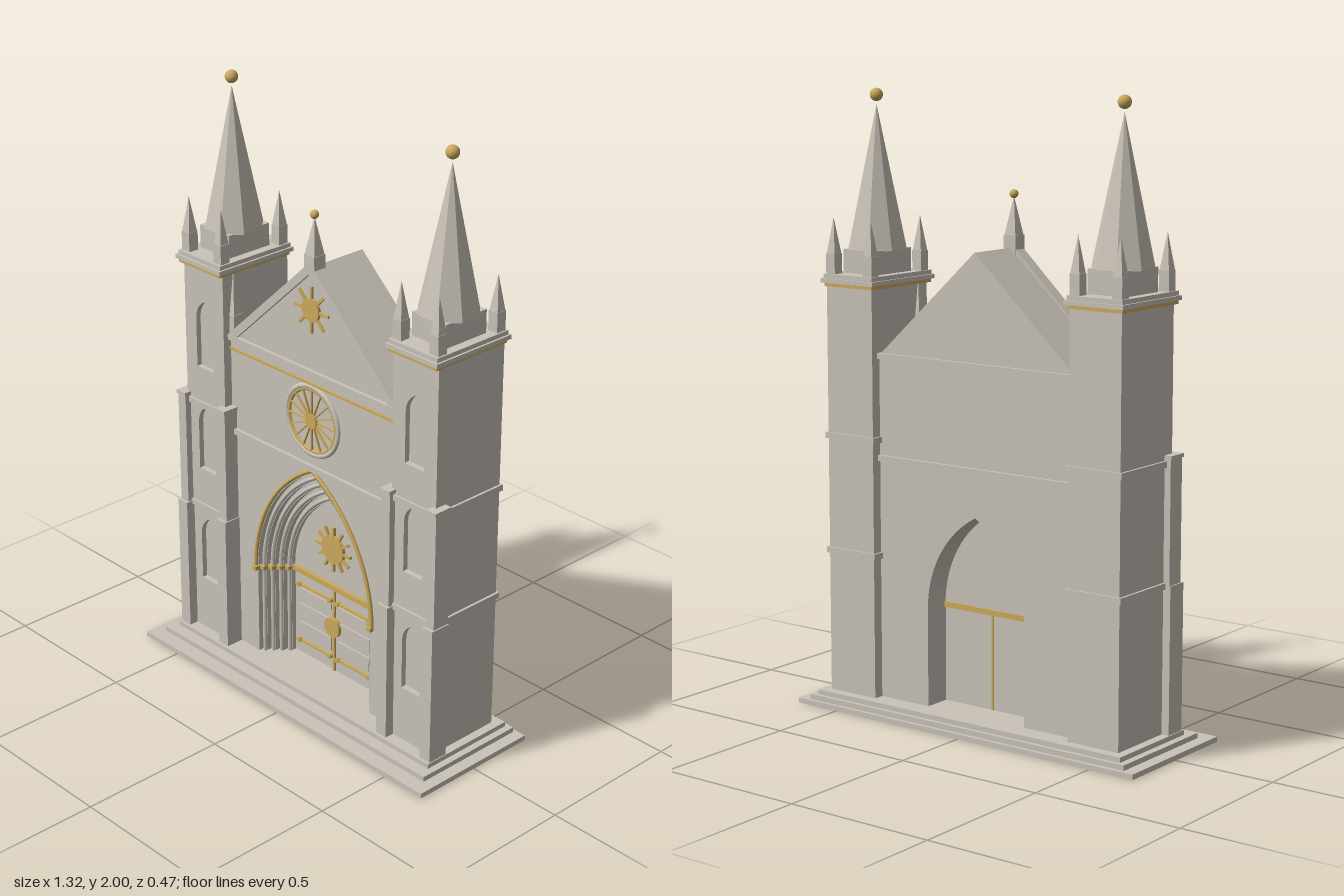
import * as THREE from 'three';

const stone = new THREE.MeshStandardMaterial({ color: 0xc9c3b8 });
stone.name = 'stone';
const gold = new THREE.MeshStandardMaterial({ color: 0xcba95c });
gold.name = 'gold';

function add(parent, name, geometry, material = stone) {
  const mesh = new THREE.Mesh(geometry, material);
  mesh.name = name;
  parent.add(mesh);
  return mesh;
}

// Box given by its limits on each axis
function box(parent, name, [x0, x1], [y0, y1], [z0, z1], material) {
  const mesh = add(parent, name, new THREE.BoxGeometry(x1 - x0, y1 - y0, z1 - z0), material);
  mesh.position.set((x0 + x1) / 2, (y0 + y1) / 2, (z0 + z1) / 2);
  return mesh;
}

// Extruded outline between two depths
function slab(parent, name, shape, z0, z1, material) {
  const geometry = new THREE.ExtrudeGeometry(shape, { depth: z1 - z0, bevelEnabled: false, curveSegments: 32 });
  geometry.translate(0, 0, z0);
  return add(parent, name, geometry, material);
}

// Faceted pointed roof with a flat side to the front
function spike(parent, name, sides, radius, y0, y1, x, z) {
  const geometry = new THREE.ConeGeometry(radius, y1 - y0, sides, 1, false, Math.PI / sides).toNonIndexed();
  geometry.computeVertexNormals();
  add(parent, name, geometry).position.set(x, (y0 + y1) / 2, z);
}

function pinnacle(parent, name, x, z, half, y0, y1, y2) {
  box(parent, name + 'Base', [x - half, x + half], [y0, y1], [z - half, z + half]);
  spike(parent, name + 'Point', 4, half * 1.3, y1, y2, x, z);
}

function ball(parent, name, r, x, y, z) {
  add(parent, name, new THREE.SphereGeometry(r, 20, 14), gold).position.set(x, y, z);
}

// Pointed arch outline from the right foot over the apex to the left foot
function archPoints(w, base, spring, n = 14) {
  const R = 1.9 * w;
  const top = Math.acos((R - w) / R);
  const right = [new THREE.Vector2(w, base)];
  for (let i = 0; i <= n; i++) {
    const a = (top * i) / n;
    right.push(new THREE.Vector2(i === n ? 0 : w - R + R * Math.cos(a), spring + R * Math.sin(a)));
  }
  const left = right.slice(0, -1).reverse().map((p) => new THREE.Vector2(-p.x, p.y));
  return right.concat(left);
}

function archTube(parent, name, w, base, spring, z, r, material) {
  const path = new THREE.CurvePath();
  const pts = archPoints(w, base, spring).map((p) => new THREE.Vector3(p.x, p.y, z));
  for (let i = 1; i < pts.length; i++) path.add(new THREE.LineCurve3(pts[i - 1], pts[i]));
  add(parent, name, new THREE.TubeGeometry(path, 90, r, 8), material);
}

function rectangle(x0, x1, y0, y1) {
  return new THREE.Shape([[x0, y0], [x1, y0], [x1, y1], [x0, y1]].map((p) => new THREE.Vector2(...p)));
}

function disc(parent, name, r, depth, x, y, z, material) {
  const mesh = add(parent, name, new THREE.CylinderGeometry(r, r, depth, 32), material);
  mesh.rotation.x = Math.PI / 2;
  mesh.position.set(x, y, z);
}

// Disc with rays
function sun(parent, name, r, reach, rays, y, z) {
  const group = new THREE.Group();
  group.name = name;
  group.position.set(0, y, z);
  parent.add(group);
  disc(group, 'sunDisc', r, 0.014, 0, 0, 0, gold);
  for (let i = 0; i < rays; i++) {
    const ray = add(group, 'sunRay', new THREE.BoxGeometry(0.009, reach - r + 0.01, 0.01), gold);
    const a = (i * 2 * Math.PI) / rays;
    const mid = (reach + r - 0.01) / 2;
    ray.position.set(Math.sin(a) * mid, Math.cos(a) * mid, 0);
    ray.rotation.z = -a;
  }
}

function tower(parent, side) {
  const g = new THREE.Group();
  g.name = side > 0 ? 'leftTower' : 'rightTower';
  g.position.x = side * 0.475;
  parent.add(g);

  // Shaft with a front layer pierced by three lancets
  box(g, 'shaft', [-0.093, 0.093], [0.05, 1.39], [-0.175, 0.082]);
  const face = rectangle(-0.093, 0.093, 0.05, 1.39);
  for (const y of [0.24, 0.655, 1.025]) face.holes.push(new THREE.Path(archPoints(0.04, y, y + 0.168, 8)));
  slab(g, 'lancetWall', face, 0.082, 0.1);

  // String courses, gold band and cornice
  for (const y of [0.508, 0.885]) box(g, 'stringCourse', [-0.101, 0.101], [y, y + 0.02], [-0.182, 0.108]);
  box(g, 'goldBand', [-0.098, 0.098], [1.376, 1.388], [-0.18, 0.117], gold);
  box(g, 'cornice', [-0.107, 0.107], [1.388, 1.402], [-0.19, 0.123]);
  box(g, 'parapet', [-0.1, 0.1], [1.402, 1.416], [-0.183, 0.116]);

  // Stepped buttresses on the front corners
  for (const s of [-1, 1]) {
    const x = s * 0.097;
    box(g, 'lowerButtress', [x - 0.022, x + 0.022], [0.04, 0.52], [0.06, 0.132]);
    box(g, 'upperButtress', [x - 0.018, x + 0.018], [0.52, 0.91], [0.06, 0.122]);
    box(g, 'buttressCap', [x - 0.021, x + 0.021], [0.91, 0.922], [0.06, 0.127]);
    for (const z of [-0.158, 0.088]) pinnacle(g, 'pinnacle', s * 0.076, z, 0.018, 1.416, 1.48, 1.595);
  }

  // Spire
  box(g, 'spireBase', [-0.069, 0.069], [1.416, 1.492], [-0.12, 0.05]);
  spike(g, 'spire', 8, 0.098, 1.49, 1.95, 0, -0.033);
  ball(g, 'spireBall', 0.021, 0, 1.979, -0.033);
}

export function createModel() {
  const model = new THREE.Group();
  model.name = 'cathedralFront';

  // Steps
  box(model, 'bottomStep', [-0.66, 0.66], [0, 0.017], [-0.235, 0.235]);
  box(model, 'middleStep', [-0.62, 0.62], [0.017, 0.034], [-0.222, 0.183]);
  box(model, 'topStep', [-0.597, 0.597], [0.034, 0.05], [-0.208, 0.142]);

  for (const side of [-1, 1]) tower(model, side);

  // Wall in layers, each with a wider arch towards the front
  const spring = 0.37;
  const layers = [[0.19, -0.14, -0.01], [0.209, -0.01, 0.01], [0.228, 0.01, 0.03], [0.247, 0.03, 0.05], [0.266, 0.05, 0.07]];
  layers.forEach(([w, z0, z1], i) => {
    const shape = rectangle(-0.385, 0.385, 0.05, 1.17);
    shape.holes.push(new THREE.Path(archPoints(w, 0.0501, spring)));
    slab(model, 'wallLayer', shape, z0, z1);
    if (i < 4) archTube(model, 'archRoll', w + 0.007, 0.05, spring, z1 + 0.004, 0.007);
  });
  archTube(model, 'goldHood', 0.273, spring, spring, 0.074, 0.007, gold);
  for (const s of [-1, 1]) {
    layers.slice(0, 4).forEach(([w, , z]) => {
      box(model, 'goldCapital', [s * (w + 0.009) - 0.011, s * (w + 0.009) + 0.011], [0.362, 0.376], [z - 0.004, z + 0.016], gold);
    });
    box(model, 'hoodStop', [s * 0.27 - 0.009, s * 0.27 + 0.009], [0.362, 0.376], [0.06, 0.086], gold);
  }

  // Wall courses
  box(model, 'lowerCourse', [-0.384, 0.384], [0.828, 0.846], [-0.152, 0.083]);
  box(model, 'upperCourse', [-0.384, 0.384], [1.156, 1.174], [-0.152, 0.083]);
  box(model, 'goldCourse', [-0.384, 0.384], [1.121, 1.129], [0.06, 0.076], gold);

  // Tympanum and doors
  slab(model, 'tympanum', new THREE.Shape(archPoints(0.191, 0.36, spring)), -0.05, -0.025);
  box(model, 'lintel', [-0.19, 0.19], [0.36, 0.378], [-0.056, -0.012], gold);
  box(model, 'doorSeam', [-0.004, 0.004], [0.05, 0.36], [-0.052, -0.02], gold);
  for (const s of [-1, 1]) {
    const span = (a, b) => (s > 0 ? [a, b] : [-b, -a]);
    box(model, 'door', span(0.003, 0.19), [0.05, 0.36], [-0.049, -0.027]);
    for (const y of [0.12, 0.19, 0.275]) box(model, 'doorPanel', span(0.014, 0.165), [y, y + (y > 0.2 ? 0.025 : 0.05)], [-0.03, -0.021]);
    for (const y of [0.1, 0.312]) {
      box(model, 'hinge', span(0.015, 0.172), [y - 0.004, y + 0.004], [-0.03, -0.018], gold);
      for (const x of [0.018, 0.165]) disc(model, 'hingeStud', 0.009, 0.014, s * x, y, -0.021, gold);
    }
  }
  disc(model, 'doorBoss', 0.035, 0.016, 0, 0.218, -0.018, gold);
  sun(model, 'portalSun', 0.05, 0.08, 12, 0.508, -0.02);

  // Rose window
  const rose = new THREE.Group();
  rose.name = 'roseWindow';
  rose.position.set(0, 1, 0.07);
  model.add(rose);
  add(rose, 'outerRing', new THREE.TorusGeometry(0.116, 0.009, 10, 48));
  add(rose, 'goldRing', new THREE.TorusGeometry(0.106, 0.007, 10, 48), gold);
  disc(rose, 'hub', 0.024, 0.014, 0, 0, 0.003, gold);
  for (let i = 0; i < 16; i++) {
    const a = (i * Math.PI) / 8;
    const spoke = add(rose, 'spoke', new THREE.BoxGeometry(0.09, 0.004, 0.008), gold);
    spoke.position.set(Math.cos(a) * 0.06, Math.sin(a) * 0.06, 0.003);
    spoke.rotation.z = a;
  }

  // Roof, gable and coping
  const triangle = (w, y0, y1) => [[-w, y0], [w, y0], [0, y1]].map((p) => new THREE.Vector2(...p));
  slab(model, 'roof', new THREE.Shape(triangle(0.384, 1.165, 1.515)), -0.14, 0.045);
  slab(model, 'gable', new THREE.Shape(triangle(0.37, 1.17, 1.51)), 0.045, 0.07);
  const coping = new THREE.Shape([[-0.384, 1.172], [-0.345, 1.172], [0, 1.496], [0.345, 1.172], [0.384, 1.172], [0, 1.532]]
    .map((p) => new THREE.Vector2(...p)));
  slab(model, 'coping', coping, 0.04, 0.082);
  sun(model, 'gableSun', 0.038, 0.077, 8, 1.375, 0.073);
  pinnacle(model, 'gableFinial', 0, 0.06, 0.023, 1.49, 1.555, 1.675);
  ball(model, 'finialBall', 0.014, 0, 1.682, 0.06);
  for (const s of [-1, 1]) pinnacle(model, 'gablePinnacle', s * 0.38, 0.055, 0.02, 1.17, 1.24, 1.39);

  return model;
}
